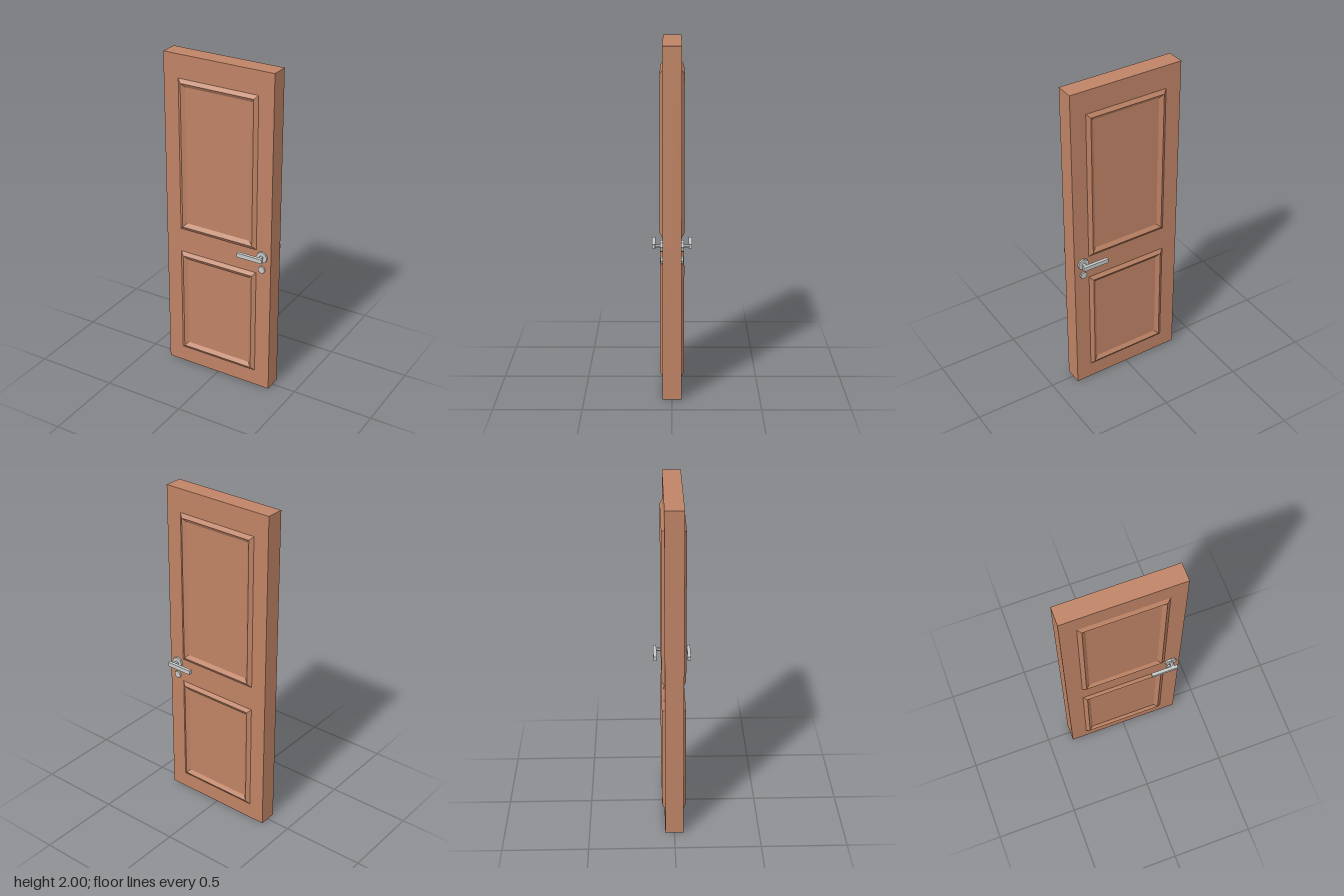
import * as THREE from 'three';

const wood = new THREE.MeshStandardMaterial({ color: 0xbe8365, flatShading: true });
wood.name = 'warm brown wood';
const metal = new THREE.MeshStandardMaterial({ color: 0xc6c9c9, flatShading: true });
metal.name = 'silver metal';

const FACE = 0.0535; // half the door thickness

function add(parent, name, geometry, material, x = 0, y = 0, z = 0) {
  const mesh = new THREE.Mesh(geometry, material);
  mesh.name = name;
  mesh.position.set(x, y, z);
  parent.add(mesh);
  return mesh;
}

// Mitred rectangular moulding with a ridge profile, lofted from nested rectangles
function mouldingGeometry(halfW, halfH) {
  const profile = [[0, 0], [0.022, 0.0155], [0.045, 0]]; // [inset, height]
  const corners = [[-1, -1], [1, -1], [1, 1], [-1, 1]];
  const positions = [];
  const point = (ring, corner) => {
    const [inset, height] = profile[ring];
    const [sx, sy] = corners[corner % 4];
    return [sx * (halfW - inset), sy * (halfH - inset), height];
  };
  for (let r = 0; r < profile.length - 1; r++) {
    for (let c = 0; c < 4; c++) {
      const a = point(r, c), b = point(r, c + 1);
      const d = point(r + 1, c), e = point(r + 1, c + 1);
      positions.push(...a, ...b, ...e, ...a, ...e, ...d);
    }
  }
  const g = new THREE.BufferGeometry();
  g.setAttribute('position', new THREE.Float32BufferAttribute(positions, 3));
  g.computeVertexNormals();
  return g;
}

// Octagonal disc or stem lying along z
function octagon(radius, length) {
  return new THREE.CylinderGeometry(radius, radius, length, 8).rotateX(Math.PI / 2).rotateZ(Math.PI / 2);
}

export function createModel() {
  const door = new THREE.Group();
  door.name = 'door';

  add(door, 'doorSlab', new THREE.BoxGeometry(0.7, 2, FACE * 2), wood, 0, 1, 0);

  for (const s of [1, -1]) {
    const side = s > 0 ? 'front' : 'back';

    // Raised panel frames
    for (const [name, y0, y1] of [['Upper', 0.925, 1.86], ['Lower', 0.1, 0.775]]) {
      const frame = add(door, side + name + 'Moulding',
        mouldingGeometry(0.255, (y1 - y0) / 2), wood, 0, (y0 + y1) / 2, s * FACE);
      if (s < 0) frame.rotation.y = Math.PI;
    }

    // Lever handle and lock cover
    const handle = new THREE.Group();
    handle.name = side + 'Handle';
    door.add(handle);
    add(handle, 'rosette', octagon(0.035, 0.012), metal, 0.295, 0.89, s * (FACE + 0.006));
    add(handle, 'neck', octagon(0.0125, 0.04), metal, 0.295, 0.89, s * 0.08);
    add(handle, 'lever', new THREE.BoxGeometry(0.162, 0.026, 0.019), metal, 0.24, 0.892, s * 0.1025);
    add(handle, 'lockCover', octagon(0.022, 0.01), metal, 0.294, 0.809, s * (FACE + 0.005));
  }
  return door;
}
